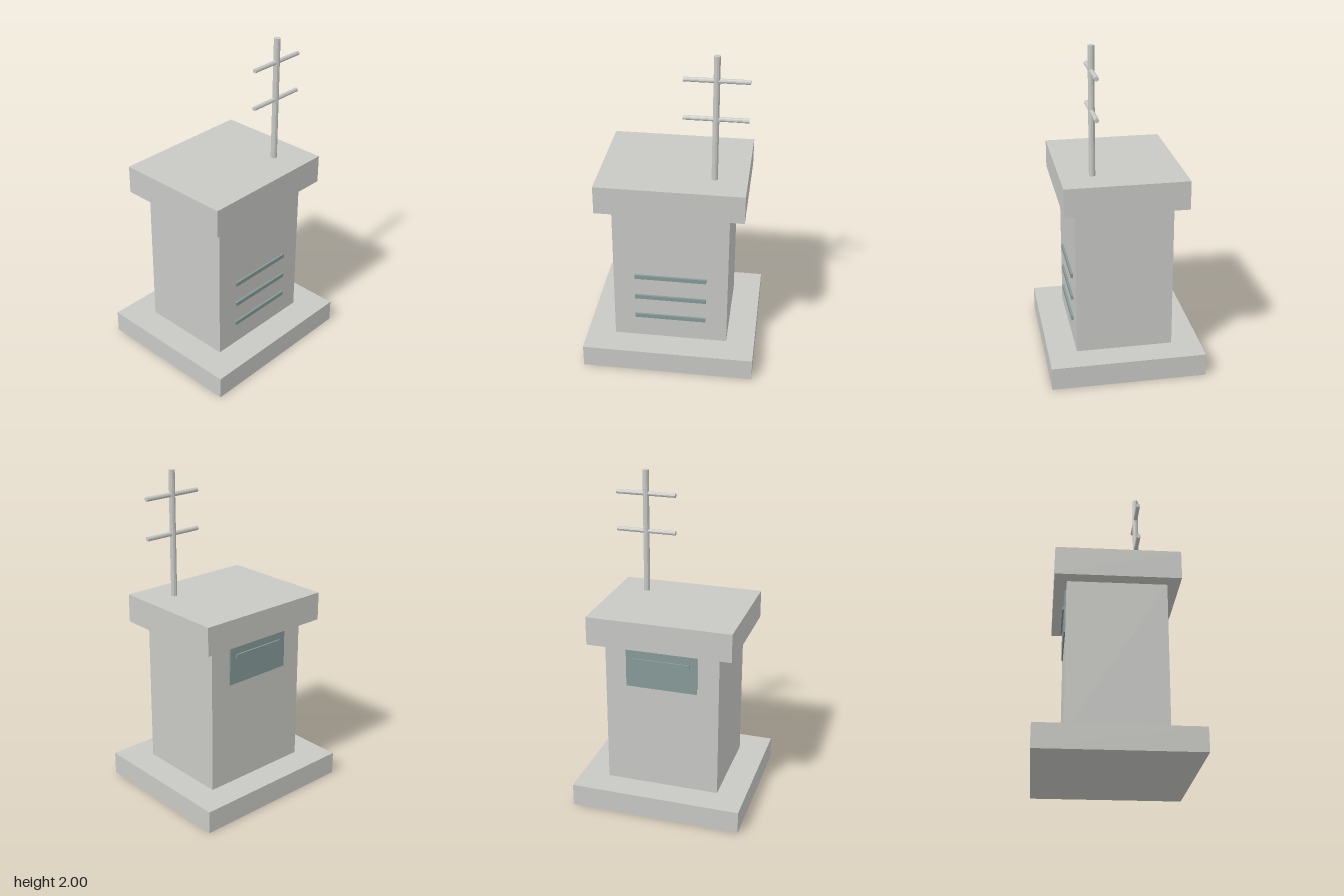
import * as THREE from 'three';

export function createModel() {
  const group = new THREE.Group();
  const concrete = new THREE.MeshStandardMaterial({ name: 'concrete grey', color: 0xc8c8c5 });
  const steel = new THREE.MeshStandardMaterial({ name: 'blue grey steel', color: 0x869a98 });

  const add = (name, geometry, material, x, y, z) => {
    const mesh = new THREE.Mesh(geometry, material);
    mesh.name = name;
    mesh.position.set(x, y, z);
    group.add(mesh);
    return mesh;
  };
  // Box given by its width, depth, bottom and top, centred on x
  const block = (name, material, w, d, y0, y1, z = 0) =>
    add(name, new THREE.BoxGeometry(w, y1 - y0, d), material, 0, (y0 + y1) / 2, z);
  // Faceted round rod
  const rod = (radius, length) =>
    new THREE.CylinderGeometry(radius, radius, length, 10).toNonIndexed();
  const flatRod = (radius, length) => {
    const g = rod(radius, length);
    g.computeVertexNormals();
    return g;
  };

  // Stacked slabs
  block('base', concrete, 1.056, 0.938, 0, 0.141);
  block('body', concrete, 0.704, 0.588, 0.141, 1.063);
  block('roof', concrete, 0.884, 0.735, 1.063, 1.237);

  // Vent slats on the front
  for (const y of [0.297, 0.44, 0.588]) {
    block('ventSlat', steel, 0.44, 0.02, y - 0.013, y + 0.013, 0.297);
  }

  // Hatch and its handle on the back
  block('hatch', steel, 0.44, 0.02, 0.797, 1.063, -0.293);
  block('hatchHandle', steel, 0.352, 0.012, 0.962, 0.983, -0.307);

  // Antenna mast with two crossbars
  add('antennaMast', flatRod(0.019, 0.763), concrete, 0.246, 1.6185, 0.175);
  for (const y of [1.622, 1.855]) {
    add('antennaCrossbar', flatRod(0.0135, 0.376), concrete, 0.246, y, 0.175).rotation.z = Math.PI / 2;
  }

  return group;
}
